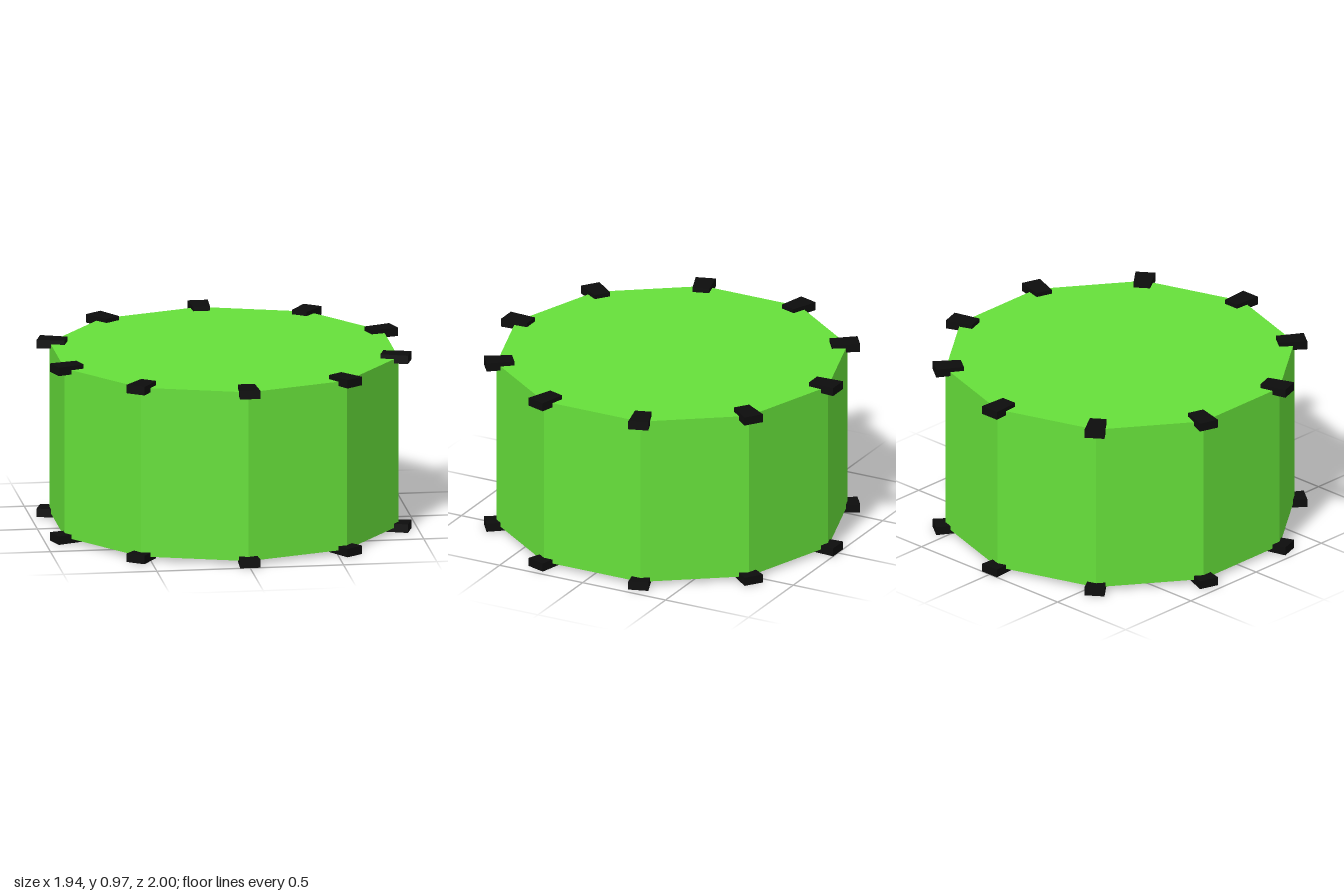
import * as THREE from 'three';

const SIDES = 10, RADIUS = 0.94;
const BOTTOM = 0.023, TOP = 0.946; // flat faces of the drum
const CLIP_HEIGHT = 0.046;

// Tapered block lying flat, narrow end towards the axis, reaching out along +z
function clipGeometry() {
  const shape = new THREE.Shape([
    new THREE.Vector2(-0.045, 0.85), new THREE.Vector2(0.045, 0.85),
    new THREE.Vector2(0.054, 1), new THREE.Vector2(-0.054, 1),
  ]);
  return new THREE.ExtrudeGeometry(shape, { depth: CLIP_HEIGHT, bevelEnabled: false })
    .rotateX(Math.PI / 2)
    .translate(0, CLIP_HEIGHT / 2, 0);
}

export function createModel() {
  const model = new THREE.Group();
  model.name = 'drum';
  const green = new THREE.MeshStandardMaterial({ color: 0x66e03a, flatShading: true });
  const black = new THREE.MeshStandardMaterial({ color: 0x0d0d0d, flatShading: true });

  // Ten-sided solid body with corners on the z axis
  const body = new THREE.Mesh(
    new THREE.CylinderGeometry(RADIUS, RADIUS, TOP - BOTTOM, SIDES), green);
  body.name = 'body';
  body.position.y = (TOP + BOTTOM) / 2;
  model.add(body);

  // One block on every corner of the two rims
  const geometry = clipGeometry();
  for (const [name, y] of [['bottomClips', BOTTOM], ['topClips', TOP]]) {
    const ring = new THREE.Group();
    ring.name = name;
    ring.position.y = y;
    for (let i = 0; i < SIDES; i++) {
      const clip = new THREE.Mesh(geometry, black);
      clip.name = 'cornerClip';
      clip.rotation.y = (i / SIDES) * Math.PI * 2;
      ring.add(clip);
    }
    model.add(ring);
  }
  return model;
}
